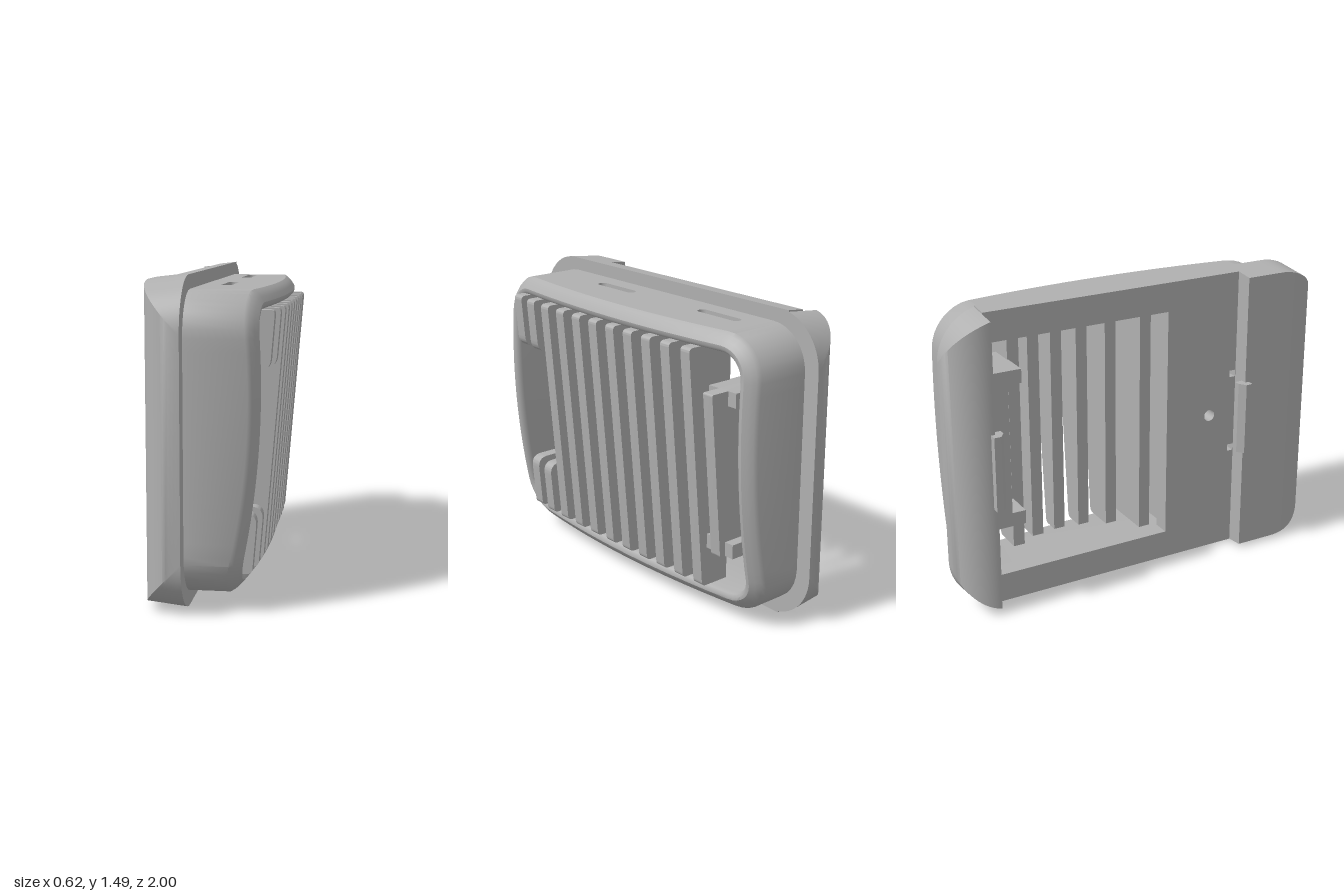
import * as THREE from 'three';
import { toCreasedNormals } from 'three/addons/utils/BufferGeometryUtils.js';

const CY = 0.745;                 // height of the centre line
const XB = -0.095;                // plane where the housing meets the flange
const HZ = 0.92, HY = 0.68, R = 0.2; // outer size of the housing
const ARC = 8, STRAIGHT = 16;

// Gently domed, tilted front surface of the housing
function frontX(y, z) {
  const q = (z / 0.87) ** 2, p = (y - CY) / 0.6;
  return 0.24 + 0.066 * (y - CY) - 0.01 * q - 0.05 * q * Math.min(1.2, p * p);
}

function indexed(pos, idx, crease) {
  const g = new THREE.BufferGeometry();
  g.setAttribute('position', new THREE.Float32BufferAttribute(pos, 3));
  g.setIndex(idx);
  return toCreasedNormals(g, crease);
}

// Rounded rectangle as [u, y] points, with u = -z
function roundedLoop(hz, hy, r) {
  const corners = [[1, 1], [-1, 1], [-1, -1], [1, -1]].map(([a, b], k) =>
    Array.from({ length: ARC + 1 }, (_, i) => {
      const t = (k + i / ARC) * Math.PI / 2;
      return [a * (hz - r) + r * Math.cos(t), CY + b * (hy - r) + r * Math.sin(t)];
    }));
  const pts = [];
  corners.forEach((c, k) => {
    pts.push(...c);
    const a = c[ARC], b = corners[(k + 1) % 4][0];
    for (let i = 1; i < STRAIGHT; i++) {
      const t = i / STRAIGHT;
      pts.push([a[0] + (b[0] - a[0]) * t, a[1] + (b[1] - a[1]) * t]);
    }
  });
  return pts;
}

// Housing shell: outer wall, rounded lip and inner wall; flat top and bottom left open
function housingGeometry() {
  const rings = [ // inset, offset from the front surface (null = back plane)
    [0, null], [0, -0.05], [0.012, -0.032], [0.032, -0.014], [0.055, 0],
    [0.07, -0.002], [0.083, -0.012], [0.09, -0.03], [0.09, null],
  ];
  const pos = [], idx = [];
  let n = 0;
  for (const [d, off] of rings) {
    const loop = roundedLoop(HZ - d, HY - d, R - d);
    n = loop.length;
    for (const [u, y] of loop) pos.push(off === null ? XB : frontX(y, -u) + off, y, -u);
  }
  const per = n / 4;
  for (let j = 0; j < rings.length - 1; j++) {
    for (let i = 0; i < n; i++) {
      const side = Math.floor(i / per);
      if (j === 0 && side % 2 === 0 && i % per >= ARC) continue;
      const a = j * n + i, b = j * n + (i + 1) % n;
      idx.push(a, b, b + n, a, b + n, a + n);
    }
  }
  return indexed(pos, idx, 0.6);
}

const shapeOf = pts => new THREE.Shape(pts.map(p => new THREE.Vector2(...p)));
const extrude = (shape, depth) =>
  new THREE.ExtrudeGeometry(shape, { depth, bevelEnabled: false, curveSegments: 16 });

// Extrudes a profile given as [x, z] upwards
const extrudeUp = (shape, depth) => extrude(shape, depth).rotateX(-Math.PI / 2);
const xz = pts => shapeOf(pts.map(([x, z]) => [x, -z]));

function rect(path, u0, u1, y0, y1) {
  path.moveTo(u0, y0); path.lineTo(u1, y0); path.lineTo(u1, y1); path.lineTo(u0, y1);
  path.closePath();
  return path;
}

// Flat top or bottom wall of the housing with two vent slots
function slottedWall(sign) {
  const pts = [[XB, -0.72], [XB, 0.72]];
  for (let i = 0; i <= STRAIGHT; i++) {
    const z = 0.72 - 1.44 * i / STRAIGHT;
    pts.push([frontX(CY + sign * HY, z) - 0.05, z]);
  }
  const shape = xz(pts);
  for (const z of [-0.485, 0.255]) {
    const h = new THREE.Path();
    h.absarc(0.02, -z + 0.11, 0.025, 0, Math.PI);
    h.absarc(0.02, -z - 0.11, 0.025, Math.PI, Math.PI * 2);
    h.closePath();
    shape.holes.push(h);
  }
  return extrudeUp(shape, 0.05).translate(0, sign > 0 ? CY + HY - 0.05 : CY - HY, 0);
}

// Rounded flange end: quarter-round in plan, clipped by the rounded outline
function flangeEnd(side, inner) {
  const rows = 16, cols = 20, n = 2 * cols + 2;
  const pos = [], idx = [];
  const tri = (a, b, c) => (side > 0 ? idx.push(a, b, c) : idx.push(a, c, b));
  for (let j = 0; j <= rows; j++) {
    const t = j / rows * Math.PI / 2;
    const x = XB - 0.18 * Math.sin(t), end = 0.82 + 0.18 * Math.cos(t);
    for (let k = 0; k < n; k++) {
      const top = k <= cols, i = top ? k : n - 1 - k;
      const z = inner + (end - inner) * Math.sin(i / cols * Math.PI / 2);
      const a = Math.min(0.25, Math.max(0, z - 0.75));
      const h = 0.495 + Math.sqrt(0.0625 - a * a) + 0.114 * (x - XB);
      pos.push(x, CY + (top ? h : -h), side * z);
    }
  }
  for (let j = 0; j < rows; j++) {
    for (let k = 0; k < n; k++) {
      const a = j * n + k, b = j * n + (k + 1) % n;
      tri(a, b + n, b);
      tri(a, a + n, b + n);
    }
  }
  const last = rows * n; // flat front and back faces
  for (let i = 0; i < cols; i++) {
    const a = i, b = i + 1, c = n - 2 - i, d = n - 1 - i;
    tri(a, b, c); tri(a, c, d);
    tri(last + a, last + c, last + b); tri(last + a, last + d, last + c);
  }
  return indexed(pos, idx, 0.5);
}

// Recessed back plate with the large opening, screw hole and clip reliefs
function backPlate() {
  const shape = rect(new THREE.Shape(), -0.55, 0.81, 0, 1.49);
  shape.holes.push(rect(new THREE.Path(), -0.15, 0.77, 0.155, 1.335));
  for (const y of [0.53, 0.935]) shape.holes.push(rect(new THREE.Path(), -0.548, -0.515, y, y + 0.035));
  const hole = new THREE.Path();
  hole.absarc(-0.4, CY + 0.005, 0.03, 0, Math.PI * 2);
  shape.holes.push(hole);
  const g = extrude(shape, 0.09).rotateY(Math.PI / 2).translate(-0.185, 0, 0);
  const p = g.attributes.position;
  for (let i = 0; i < p.count; i++) {
    const d = p.getY(i) - CY;
    if (Math.abs(d) > 0.7) p.setY(i, CY + Math.sign(d) * (0.745 + 0.114 * (p.getX(i) - XB)));
  }
  g.computeVertexNormals();
  return g;
}

// Backs of the slats follow a cylindrical hollow behind the opening
function hollowX(z) {
  const d = z + 0.31;
  return Math.abs(d) < 0.46 ? Math.max(XB, -0.38 + Math.sqrt(0.25 - d * d)) : XB;
}

// Deep slat with softened front ends, following the tilt of the front
function slat(z, y0, y1, r0 = 0.025, r1 = 0.025, back = hollowX(z)) {
  const f = y => 0.31 + 0.083 * (y - 1.3) - 0.025 * (z / 0.73) ** 4;
  const s = new THREE.Shape();
  s.moveTo(back, y0);
  s.lineTo(f(y0) - r0, y0);
  s.quadraticCurveTo(f(y0), y0, f(y0 + r0), y0 + r0);
  s.lineTo(f(y1 - r1), y1 - r1);
  s.quadraticCurveTo(f(y1), y1, f(y1) - r1, y1);
  s.lineTo(back, y1);
  s.closePath();
  return toCreasedNormals(extrude(s, 0.06).translate(0, 0, z - 0.03), 0.5);
}

export function createModel() {
  const group = new THREE.Group();
  const grey = new THREE.MeshStandardMaterial({ color: 0xb0b0b0 });
  grey.name = 'grey plastic';
  const add = (name, geometry) => {
    const m = new THREE.Mesh(geometry, grey);
    m.name = name;
    group.add(m);
  };
  const box = (name, x0, x1, y0, y1, z0, z1) =>
    add(name, new THREE.BoxGeometry(x1 - x0, y1 - y0, z1 - z0)
      .translate((x0 + x1) / 2, (y0 + y1) / 2, (z0 + z1) / 2));

  // Housing and slotted walls
  add('housing', housingGeometry());
  for (const s of [1, -1]) {
    add(s > 0 ? 'topWall' : 'bottomWall', slottedWall(s));
    const y = CY + s * (HY - 0.055);
    for (const z of [-0.485, 0.255]) box('slotFloor', -0.02, 0.06, y - 0.01, y + 0.01, z - 0.15, z + 0.15);
  }

  // Flange and back
  add('wideFlangeEnd', flangeEnd(1, 0.55));
  add('narrowFlangeEnd', flangeEnd(-1, 0.81));
  add('backPlate', backPlate());
  const ring = new THREE.Shape().absarc(-0.4, CY + 0.005, 0.09, 0, Math.PI * 2);
  ring.holes.push(new THREE.Path().absarc(-0.4, CY + 0.005, 0.03, 0, Math.PI * 2));
  add('screwBoss', toCreasedNormals(extrude(ring, 0.02).rotateY(Math.PI / 2).translate(XB, 0, 0), 0.5));

  // Snap clips on the back
  const hook = [[-0.31, -0.83], [-0.31, -0.795], [-0.275, -0.77], [-0.245, -0.77], [-0.245, -0.81], [-0.245, -0.83]];
  add('narrowClip', extrudeUp(xz(hook), 0.37).translate(0, 0.56, 0));
  add('wideClip', extrudeUp(xz(hook.map(([x, z]) => [x, -z - 0.26])), 0.37).translate(0, 0.56, 0));

  // Full-height slats
  for (let i = 0; i < 9; i++) add('slat', slat(0.478 - i * 0.1305, 0.155, 1.34));

  // Two slats interrupted by the pocket
  for (const z of [0.61, 0.738]) {
    add('upperShortSlat', slat(z, 1.065, 1.34, 0.06, 0.025));
    add('lowerShortSlat', slat(z, 0.155, 0.435, 0.025, 0.06));
  }

  // Deep end slat with its ribs and carrier
  add('endSlat', slat(-0.69, 0.35, 1.15, 0.01, 0.01, XB));
  box('endCarrier', XB, -0.06, 0.42, 1.08, -0.83, -0.72);
  for (const y of [0.35, 1.08]) box('endRib', XB, 0.18, y, y + 0.07, -0.77, -0.59);

  return group;
}
